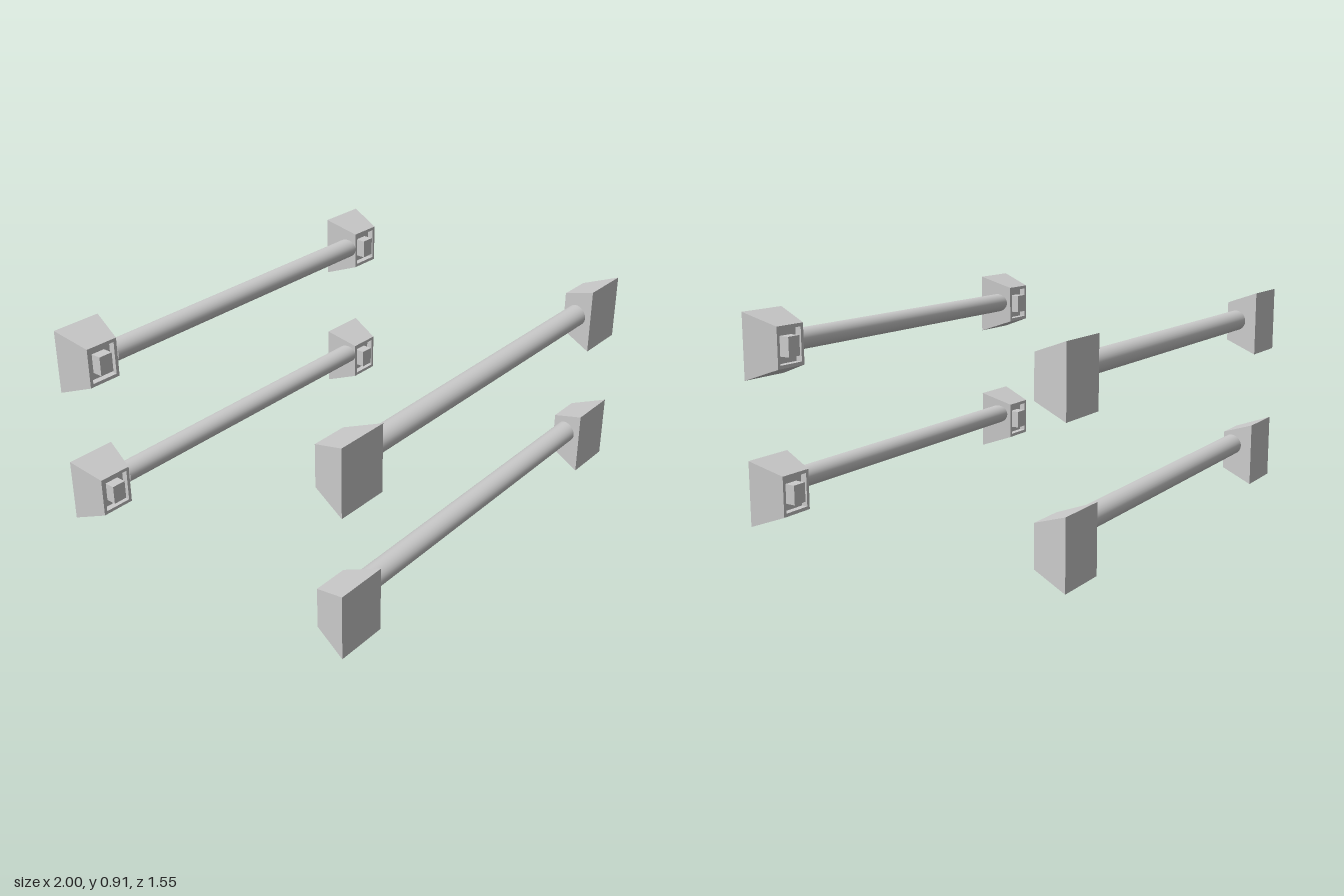
import * as THREE from 'three';

const material = new THREE.MeshStandardMaterial({ color: 0xcccccc });

// Lofts rectangular rings [width, height, z] into a faceted solid, capped at both ends
function loftRects(rings) {
  const corners = rings.map(([w, h, z]) => [
    [-w / 2, -h / 2, z], [w / 2, -h / 2, z], [w / 2, h / 2, z], [-w / 2, h / 2, z],
  ]);
  const pos = [];
  const quad = (a, b, c, d) => pos.push(...a, ...b, ...c, ...a, ...c, ...d);
  const first = corners[0], last = corners[corners.length - 1];
  quad(first[3], first[2], first[1], first[0]);
  for (let i = 0; i < corners.length - 1; i++) {
    for (let k = 0; k < 4; k++) {
      const n = (k + 1) % 4;
      quad(corners[i][k], corners[i][n], corners[i + 1][n], corners[i + 1][k]);
    }
  }
  quad(...last);
  const geometry = new THREE.BufferGeometry();
  geometry.setAttribute('position', new THREE.Float32BufferAttribute(pos, 3));
  geometry.computeVertexNormals();
  return geometry;
}

const DEPTH = 0.154;   // block depth from wide outer face to narrow inner face
const RECESS = 0.03;

// Tapered block with a shallow pocket in its narrow face
const blockGeometry = loftRects([
  [0.233, 0.287, 0],
  [0.157, 0.178, DEPTH],
  [0.127, 0.148, DEPTH],
  [0.127, 0.148, DEPTH - RECESS],
]);
// Peg standing in the pocket and reaching just past the rim
const pegGeometry = new THREE.BoxGeometry(0.066, 0.086, RECESS + 0.019);
pegGeometry.translate(0, 0, DEPTH - RECESS + (RECESS + 0.019) / 2);

function makeBlock(x, y, z) {
  const group = new THREE.Group();
  group.name = 'endBlock';
  const body = new THREE.Mesh(blockGeometry, material);
  body.name = 'taperedBody';
  const peg = new THREE.Mesh(pegGeometry, material);
  peg.name = 'mountingPeg';
  group.add(body, peg);
  group.position.set(x, y, z);
  if (z > 0) group.rotation.y = Math.PI; // narrow face points inward
  return group;
}

// Slightly oval bar running between two points
function makeBar(y, zLeft, zRight) {
  const a = new THREE.Vector3(-0.803, y, zLeft);
  const b = new THREE.Vector3(0.803, y, zRight);
  const geometry = new THREE.CylinderGeometry(1, 1, a.distanceTo(b), 32);
  geometry.rotateZ(Math.PI / 2);
  geometry.scale(1, 0.046, 0.051);
  const bar = new THREE.Mesh(geometry, material);
  bar.name = 'roundBar';
  bar.position.copy(a).add(b).multiplyScalar(0.5);
  bar.rotation.y = -Math.atan2(zRight - zLeft, 1.606);
  return bar;
}

export function createModel() {
  const model = new THREE.Group();
  model.name = 'barSet';
  const sides = [
    { name: 'front', outer: [0.775, 0.761], bar: [0.69, 0.679] },
    { name: 'back', outer: [-0.764, -0.775], bar: [-0.657, -0.67] },
  ];
  const levels = [
    { name: 'Lower', block: 0.144, bar: 0.179 },
    { name: 'Upper', block: 0.772, bar: 0.78 },
  ];
  for (const side of sides) {
    for (const level of levels) {
      const rail = new THREE.Group();
      rail.name = side.name + level.name + 'Rail';
      rail.add(
        makeBar(level.bar, ...side.bar),
        makeBlock(-0.8835, level.block, side.outer[0]),
        makeBlock(0.8835, level.block, side.outer[1]),
      );
      model.add(rail);
    }
  }
  return model;
}
